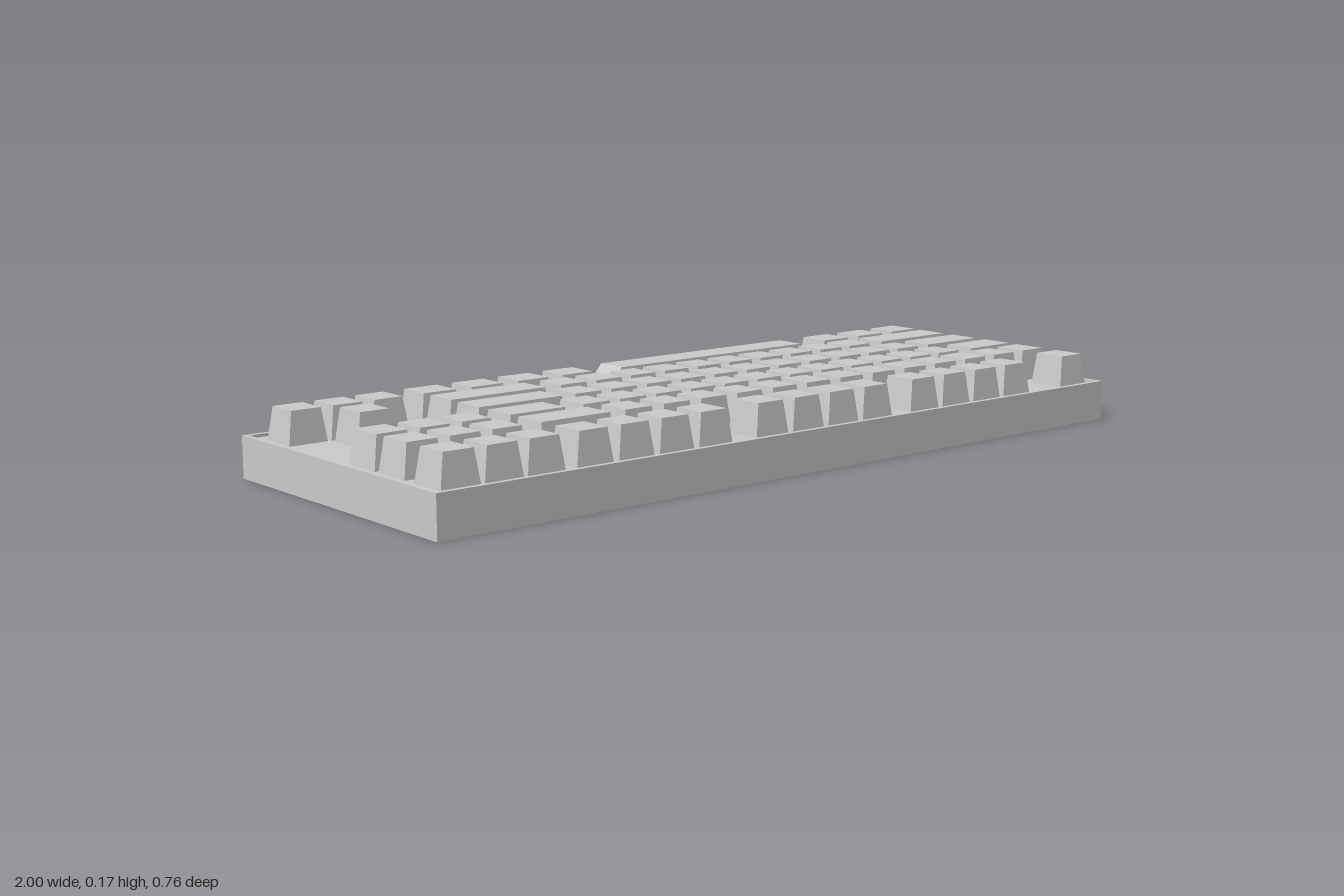
import * as THREE from 'three';

const material = new THREE.MeshStandardMaterial({ color: 0xcccccc, flatShading: true });
const PLATE = 0.09, RIM = 0.097, KEY_TOP = 0.166;

function box(name, w, h, d, x, y, z) {
  const mesh = new THREE.Mesh(new THREE.BoxGeometry(w, h, d), material);
  mesh.name = name;
  mesh.position.set(x, y, z);
  return mesh;
}

// Tapered keycap spanning x0..x1 and z0..z1 at its base
function keycap(name, x0, x1, z0, z1, taperX = 0.011) {
  const w = x1 - x0, d = z1 - z0, h = KEY_TOP - PLATE;
  const geo = new THREE.BoxGeometry(w, h, d);
  const p = geo.attributes.position;
  for (let i = 0; i < p.count; i++) {
    if (p.getY(i) < 0) continue;
    p.setX(i, p.getX(i) - Math.sign(p.getX(i)) * taperX);
    p.setZ(i, p.getZ(i) - Math.sign(p.getZ(i)) * 0.007);
  }
  geo.computeVertexNormals();
  const mesh = new THREE.Mesh(geo, material);
  mesh.name = name;
  mesh.position.set((x0 + x1) / 2, (PLATE + KEY_TOP) / 2, (z0 + z1) / 2);
  return mesh;
}

// Each run is [first left edge, key width, count, pitch]
const U = 0.095;
const cluster = [-0.968, U, 3, 0.104];
const rows = [
  { name: 'spaceRow', z: [-0.327, -0.233], runs: [cluster, [-0.631, 0.109, 4, 0.13], [0.615, 0.109, 3, 0.126]] },
  { name: 'lowerLetterRow', z: [-0.219, -0.123], runs: [[-0.864, U, 1, 0], [-0.631, 0.279, 1, 0], [-0.328, U, 10, 0.103], [0.717, 0.256, 1, 0]] },
  { name: 'homeRow', z: [-0.103, -0.007], runs: [[-0.636, 0.245, 1, 0], [-0.375, U, 11, 0.1033], [0.77, 0.203, 1, 0]] },
  { name: 'upperLetterRow', z: [0.013, 0.11], runs: [cluster, [-0.636, 0.165, 1, 0], [-0.442, U, 12, 0.1025], [0.807, 0.166, 1, 0]] },
  { name: 'numberRow', z: [0.124, 0.221], runs: [cluster, [-0.636, 0.203, 1, 0], [-0.413, U, 13, 0.1075]] },
  { name: 'functionRow', z: [0.256, 0.35], runs: [cluster, [-0.636, U, 4, 0.109], [-0.144, U, 4, 0.109], [0.34, U, 4, 0.108], [0.877, U, 1, 0]] },
];

export function createModel() {
  const model = new THREE.Group();
  model.name = 'keyboard';

  // Case with a low rim around the key plate
  const w = 2, d = 0.765, t = 0.012, rimH = RIM - PLATE, rimY = (RIM + PLATE) / 2;
  model.add(box('case', w, PLATE, d, 0, PLATE / 2, 0));
  for (const s of [-1, 1]) {
    model.add(box(s > 0 ? 'frontRim' : 'backRim', w, rimH, t, 0, rimY, s * (d - t) / 2));
    model.add(box(s > 0 ? 'leftRim' : 'rightRim', t, rimH, d - 2 * t, s * (w - t) / 2, rimY, 0));
  }

  // Rows of keys
  for (const row of rows) {
    const group = new THREE.Group();
    group.name = row.name;
    for (const [x, width, count, pitch] of row.runs)
      for (let i = 0; i < count; i++)
        group.add(keycap('key', x + i * pitch, x + i * pitch + width, ...row.z));
    model.add(group);
  }

  // Space bar with long sloping ends
  model.add(keycap('spaceBar', -0.107, 0.593, ...rows[0].z, 0.053));
  return model;
}
